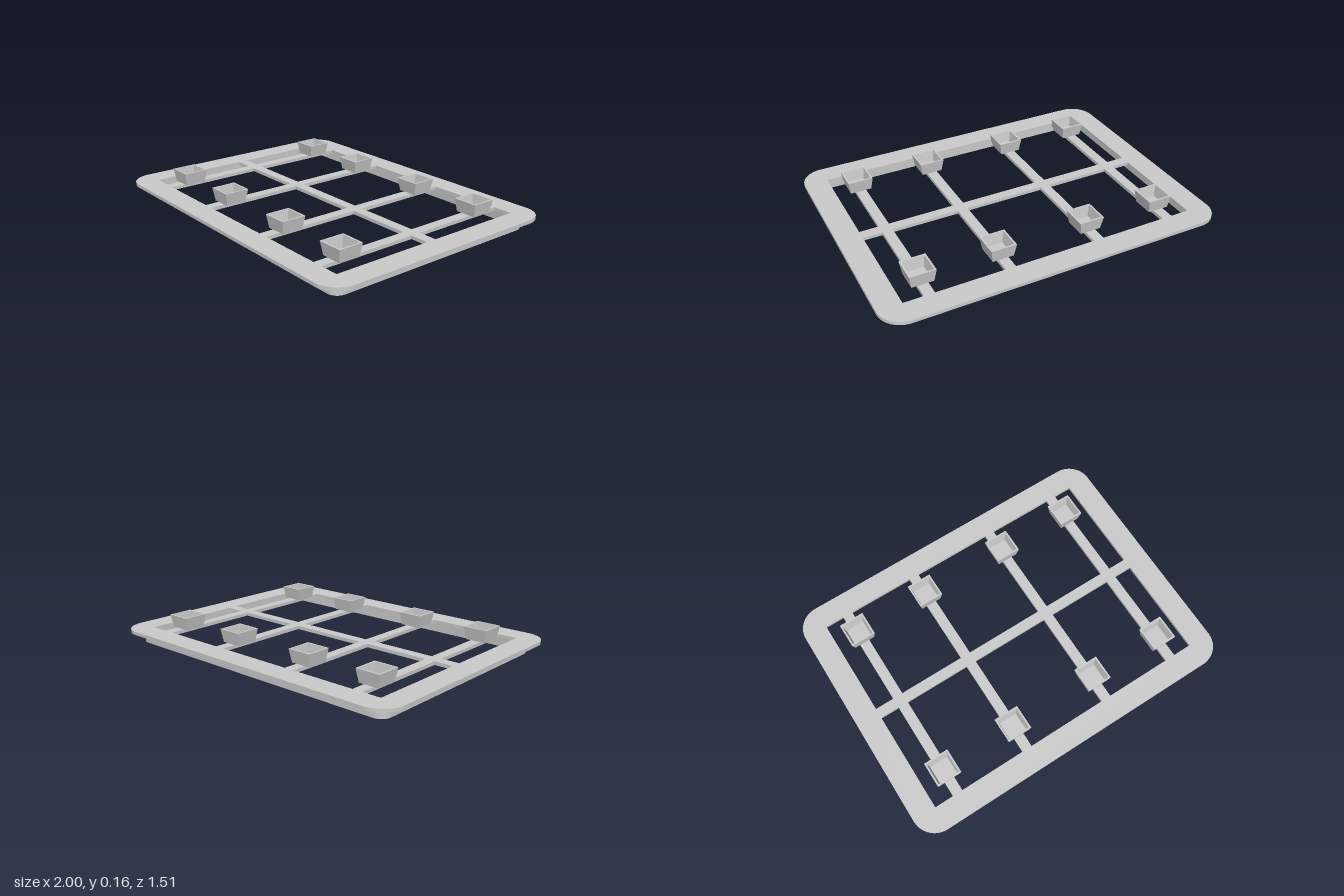
import * as THREE from 'three';
import { toCreasedNormals } from 'three/addons/utils/BufferGeometryUtils.js';

const BAR = 0.03;                           // half width of the grid bars
const BAR_X = [-0.721, -0.268, 0.268, 0.721];
const CUP_Z = 0.476;
const PLATE_Y = 0.063, PLATE_TOP = 0.083, CUP_TOP = 0.159;

// Traces a rounded rectangle of half sizes w and d on a Shape or Path
function roundedRect(path, w, d, r) {
  path.moveTo(-w + r, -d);
  path.lineTo(w - r, -d);
  path.absarc(w - r, -d + r, r, -Math.PI / 2, 0);
  path.lineTo(w, d - r);
  path.absarc(w - r, d - r, r, 0, Math.PI / 2);
  path.lineTo(-w + r, d);
  path.absarc(-w + r, d - r, r, Math.PI / 2, Math.PI);
  path.lineTo(-w, -d + r);
  path.absarc(-w + r, -d + r, r, Math.PI, Math.PI * 1.5);
  return path;
}

function rectHole(x0, x1, z0, z1) {
  return new THREE.Path([[x0, z0], [x0, z1], [x1, z1], [x1, z0]]
    .map(([x, z]) => new THREE.Vector2(x, z))).closePath();
}

// Extrudes a flat outline upwards from y0 to y1
function slab(shape, y0, y1) {
  const geo = new THREE.ExtrudeGeometry(shape, { depth: y1 - y0, bevelEnabled: false, curveSegments: 16 });
  geo.rotateX(-Math.PI / 2).translate(0, y0, 0);
  return toCreasedNormals(geo, 0.5);
}

export function createModel() {
  const group = new THREE.Group();
  const material = new THREE.MeshStandardMaterial({ color: 0xcccccc });
  const add = (name, geo) => {
    const mesh = new THREE.Mesh(geo, material);
    mesh.name = name;
    group.add(mesh);
    return mesh;
  };

  // Flat frame and its grid of bars, cut from one plate
  const plate = roundedRect(new THREE.Shape(), 1, 0.757, 0.135);
  const left = [-0.863, ...BAR_X.map(x => x + BAR)];
  const right = [...BAR_X.map(x => x - BAR), 0.863];
  left.forEach((x0, i) => {
    plate.holes.push(rectHole(x0, right[i], BAR, 0.623));
    plate.holes.push(rectHole(x0, right[i], -0.623, -BAR));
  });
  add('frameWithBars', slab(plate, PLATE_Y, PLATE_TOP));

  // Thin wall under the frame
  const skirt = roundedRect(new THREE.Shape(), 0.921, 0.678, 0.06);
  skirt.holes.push(roundedRect(new THREE.Path(), 0.9, 0.657, 0.04));
  add('lowerSkirt', slab(skirt, 0, PLATE_Y));

  // Open square cups: half width and height along the section
  const section = [
    [0, PLATE_TOP], [0.062, PLATE_TOP], [0.074, CUP_TOP],
    [0.064, CUP_TOP], [0.054, PLATE_TOP + 0.01], [0, PLATE_TOP + 0.01],
  ].map(([w, y]) => new THREE.Vector2(w * Math.SQRT2, y));
  const cup = toCreasedNormals(new THREE.LatheGeometry(section, 4, Math.PI / 4), 0.2);
  for (const x of BAR_X) {
    for (const z of [-CUP_Z, CUP_Z]) add('cup', cup).position.set(x, 0, z);
  }
  return group;
}
